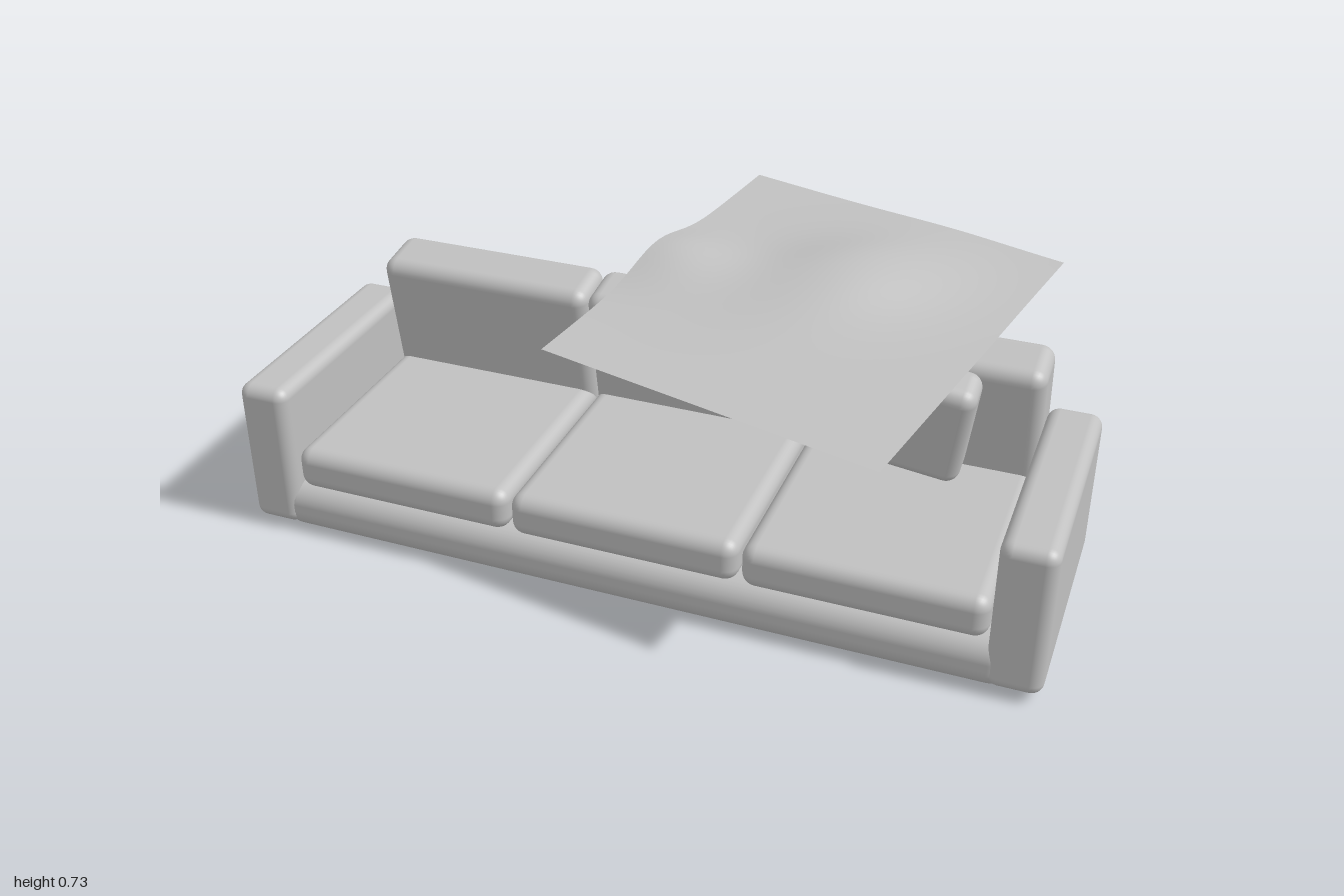
import * as THREE from 'three';
import { RoundedBoxGeometry } from 'three/addons/geometries/RoundedBoxGeometry.js';

const fabric = new THREE.MeshStandardMaterial({ color: 0xc0c0c0 });
fabric.name = 'greyFabric';
fabric.side = THREE.DoubleSide;

// Soft upholstered block: size, centre, rounding and tilt
function cushion(name, size, pos, radius, rot = [0, 0, 0]) {
  const mesh = new THREE.Mesh(new RoundedBoxGeometry(...size, 4, radius), fabric);
  mesh.name = name;
  mesh.position.set(...pos);
  mesh.rotation.set(...rot);
  return mesh;
}

// Smooth hill of height h at (x0, z0), stretched along the given direction
function hill(x, z, x0, z0, h, along, across, angle) {
  const c = Math.cos(angle), s = Math.sin(angle);
  const u = ((x - x0) * c + (z - z0) * s) / along;
  const v = ((z - z0) * c - (x - x0) * s) / across;
  return h * Math.exp(-u * u - v * v);
}

// Tilted sheet of cloth with two soft folds, floating over the seat
function throwBlanket() {
  const n = 32;
  const geo = new THREE.PlaneGeometry(1, 1, n, n);
  const p = geo.attributes.position;
  for (let i = 0; i < p.count; i++) {
    const a = p.getX(i), b = -p.getY(i);
    const x = 0.325 + 0.82 * a - 0.21 * b;
    const z = -0.0025 + 0.15 * a + 0.905 * b;
    const y = 0.663 - 0.046 * a - 0.094 * b
      + hill(x, z, -0.04, -0.06, 0.046, 0.16, 0.13, 0)
      + hill(x, z, 0.38, -0.12, 0.055, 0.26, 0.17, -0.7);
    p.setXYZ(i, x, y, z);
  }
  geo.computeVertexNormals();
  const mesh = new THREE.Mesh(geo, fabric);
  mesh.name = 'throwBlanket';
  return mesh;
}

export function createModel() {
  const sofa = new THREE.Group();
  sofa.name = 'sofa';

  // Base
  sofa.add(cushion('base', [1.86, 0.13, 0.66], [0, 0.065, 0.085], 0.055));

  // Arms
  for (const [side, name] of [[1, 'leftArm'], [-1, 'rightArm']]) {
    sofa.add(cushion(name, [0.13, 0.385, 0.625], [side * 0.935, 0.21, 0.107], 0.03));
  }

  // Seat and back cushions
  for (let i = -1; i <= 1; i++) {
    sofa.add(cushion('seatCushion', [0.572, 0.11, 0.6], [i * 0.58, 0.18, 0.105], 0.035));
    sofa.add(cushion('backCushion', [0.578, 0.405, 0.155], [i * 0.58, 0.344, -0.183], 0.035, [0.16, 0, 0]));
  }

  // Loose pillow leaning on the back
  sofa.add(cushion('pillow', [0.298, 0.29, 0.12], [0.565, 0.393, -0.05], 0.035, [0.2, 0, -0.14]));

  sofa.add(throwBlanket());
  return sofa;
}
